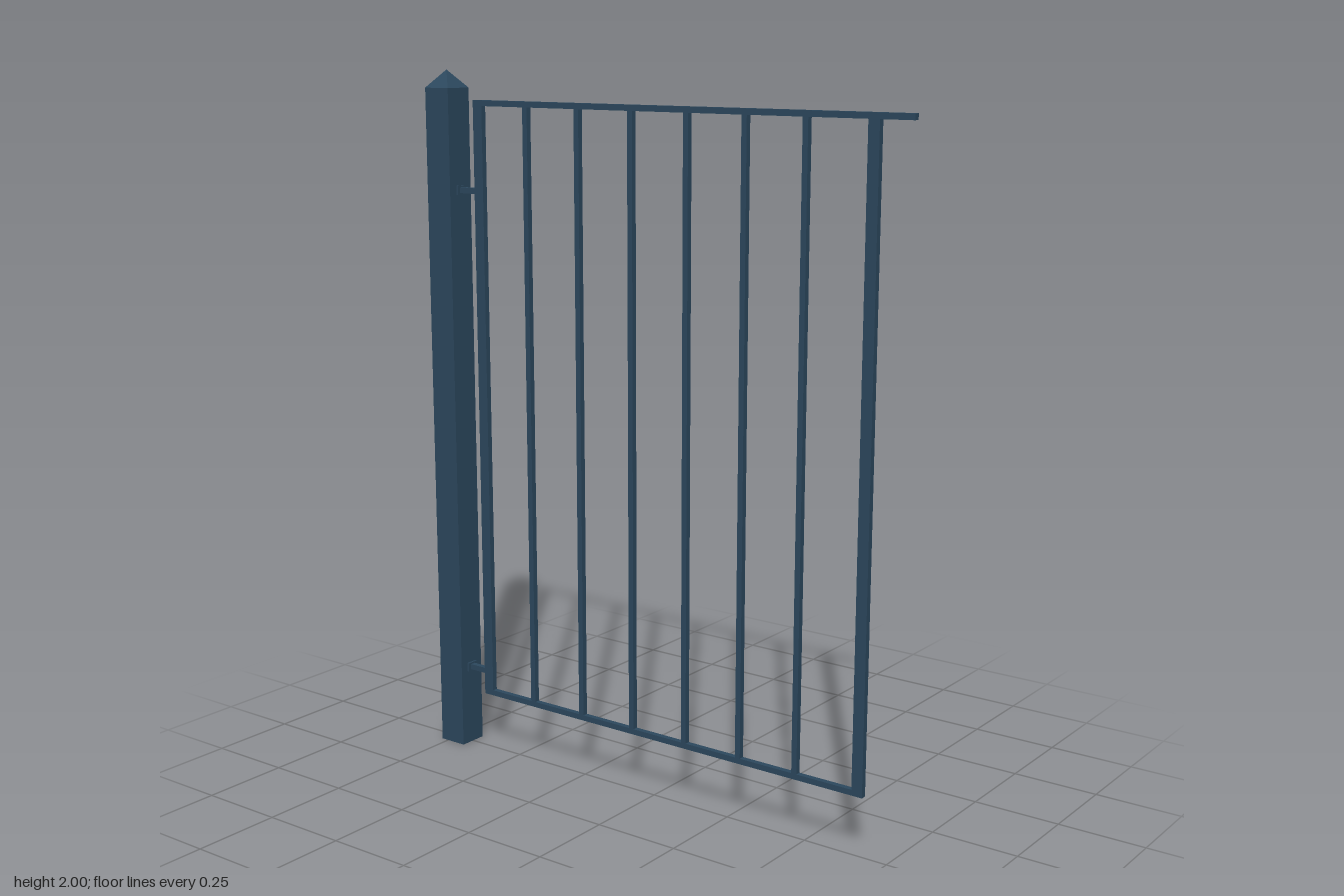
import * as THREE from 'three';

export function createModel() {
  const gate = new THREE.Group();
  gate.name = 'gate';
  const paint = new THREE.MeshStandardMaterial({ color: 0x2c485e, flatShading: true });

  const add = (name, geometry, x, y, z = 0, parent = gate) => {
    const mesh = new THREE.Mesh(geometry, paint);
    mesh.name = name;
    mesh.position.set(x, y, z);
    parent.add(mesh);
    return mesh;
  };
  // Box given by its x and y limits and its depth
  const bar = (name, x0, x1, y0, y1, depth, parent) =>
    add(name, new THREE.BoxGeometry(x1 - x0, y1 - y0, depth), (x0 + x1) / 2, (y0 + y1) / 2, 0, parent);

  // Square post with a pyramid cap
  const postWidth = 0.086, postX = -0.73, shaftTop = 1.95;
  const postFace = postX + postWidth / 2;
  bar('post', postX - postWidth / 2, postFace, 0, shaftTop, postWidth);
  const cap = new THREE.ConeGeometry(postWidth / Math.SQRT2, 2 - shaftTop, 4, 1, true);
  cap.rotateY(Math.PI / 4);
  add('postCap', cap, postX, (2 + shaftTop) / 2);

  // Gate frame: the top rail runs past the latch side
  const t = 0.016, bottom = 0.168, top = 1.918;
  const left = -0.626, right = 0.677, stile = 0.032;
  const leaf = new THREE.Group();
  leaf.name = 'gateLeaf';
  gate.add(leaf);
  bar('topRail', left, 0.772, top - t, top, t, leaf);
  bar('bottomRail', left, right, bottom, bottom + t, t, leaf);
  bar('hingeStile', left, left + stile, bottom + t, top - t, t, leaf);
  bar('latchStile', right - stile, right, bottom + t, top - t, t, leaf);

  // Evenly spaced balusters
  for (let i = 0; i < 6; i++) {
    const x = -0.437 + i * 0.181;
    bar('baluster', x - t / 2, x + t / 2, bottom + t, top - t, t, leaf);
  }

  // Hinges: a short arm and a small plate on the post
  for (const y of [0.24, 1.665]) {
    const hinge = new THREE.Group();
    hinge.name = 'hinge';
    gate.add(hinge);
    bar('hingeArm', postFace, left, y - t / 2, y + t / 2, t, hinge);
    bar('hingePlate', postFace, postFace + 0.006, y - 0.013, y + 0.013, 0.034, hinge);
  }

  return gate;
}
